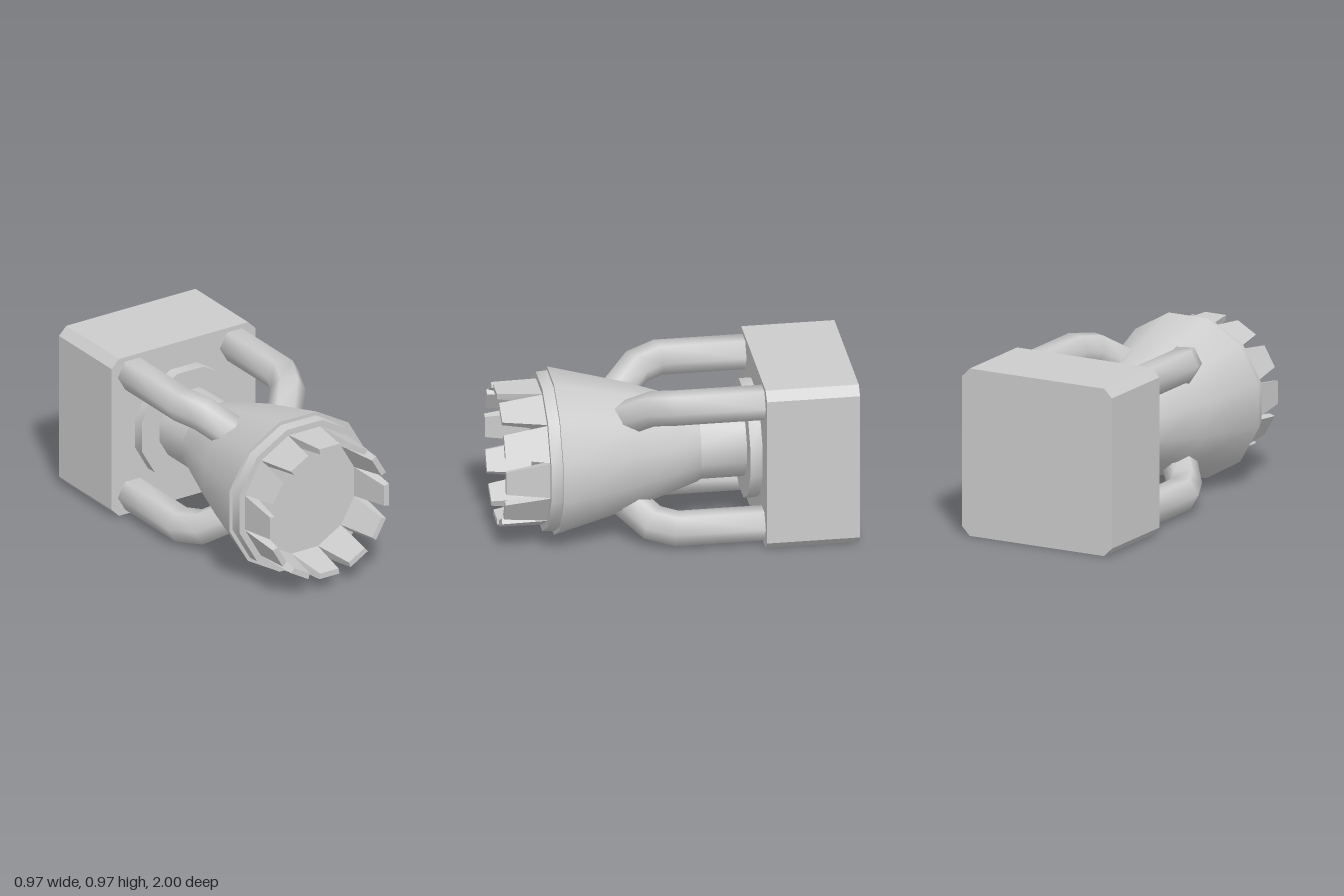
import * as THREE from 'three';
import { toCreasedNormals } from 'three/addons/utils/BufferGeometryUtils.js';

const MID = 0.487; // height of the central axis
const SIDES = 12;
const material = new THREE.MeshStandardMaterial({ color: 0xcccccc });

function part(name, geometry) {
  const mesh = new THREE.Mesh(geometry, material);
  mesh.name = name;
  return mesh;
}

// Twelve-sided turned part along z, from [apothem, z] pairs, flats on top and sides
function turned(name, profile) {
  const points = profile.map(([a, z]) => new THREE.Vector2(a / Math.cos(Math.PI / SIDES), z));
  points.unshift(new THREE.Vector2(0, profile[0][1]));
  points.push(new THREE.Vector2(0, profile[profile.length - 1][1]));
  const lathe = new THREE.LatheGeometry(points, SIDES, Math.PI / SIDES);
  const mesh = part(name, toCreasedNormals(lathe.rotateX(Math.PI / 2), 0.6));
  mesh.position.y = MID;
  return mesh;
}

// Rear block with bevelled long edges
function rearBlock() {
  const w = 0.487, c = 0.05;
  const shape = new THREE.Shape([
    [w, -w + c], [w, w - c], [w - c, w], [-w + c, w],
    [-w, w - c], [-w, -w + c], [-w + c, -w], [w - c, -w],
  ].map(([x, y]) => new THREE.Vector2(x, y)));
  const mesh = part('rearBlock', new THREE.ExtrudeGeometry(shape, { depth: 0.53, bevelEnabled: false }));
  mesh.position.set(0, MID, -1);
  return mesh;
}

// Tooth tapering in width and thickness towards its tip
function tooth(angle) {
  const geometry = new THREE.BoxGeometry(2, 2, 2);
  const pos = geometry.attributes.position;
  for (let i = 0; i < pos.count; i++) {
    const tip = pos.getZ(i) > 0, outer = pos.getY(i) > 0;
    const half = tip ? (outer ? 0.068 : 0.062) : (outer ? 0.106 : 0.09);
    const radius = outer ? 0.403 : (tip ? 0.37 : 0.335);
    pos.setXYZ(i, pos.getX(i) * half, radius, tip ? 1 : 0.745);
  }
  const flat = geometry.toNonIndexed();
  flat.computeVertexNormals();
  const mesh = part('tooth', flat);
  mesh.rotation.z = angle;
  return mesh;
}

// Six-sided bent pipe: a hexagon carried along the path and mitred at each bend
function pipe(sx, sy) {
  const path = [[0.345, 0.373, -0.5], [0.345, 0.373, 0.02], [0.288, 0.352, 0.15], [0.175, 0.253, 0.285]]
    .map(([x, y, z]) => new THREE.Vector3(x * sx, y * sy, z));
  const dirs = path.slice(1).map((p, i) => p.clone().sub(path[i]).normalize());
  let ring = [...Array(6).keys()].map((k) => {
    const a = k * Math.PI / 3;
    return new THREE.Vector3(Math.cos(a) * 0.1, Math.sin(a) * 0.1, 0).add(path[0]);
  });
  const positions = [], index = [];
  const push = (v) => positions.push(v.x, v.y, v.z);
  ring.forEach(push);
  dirs.forEach((d, s) => {
    const normal = d.clone().add(dirs[s + 1] || d).normalize();
    ring = ring.map((v) => {
      const t = path[s + 1].clone().sub(v).dot(normal) / d.dot(normal);
      return v.clone().addScaledVector(d, t);
    });
    ring.forEach(push);
    for (let k = 0; k < 6; k++) {
      const a = s * 6 + k, b = s * 6 + (k + 1) % 6;
      index.push(a, b, b + 6, a, b + 6, a + 6);
    }
  });
  // End cap with its own corners so the edge stays sharp
  const base = positions.length / 3;
  ring.forEach(push);
  for (let k = 1; k < 5; k++) index.push(base, base + k, base + k + 1);
  const geometry = new THREE.BufferGeometry();
  geometry.setAttribute('position', new THREE.Float32BufferAttribute(positions, 3));
  geometry.setIndex(index);
  geometry.computeVertexNormals();
  const mesh = part('pipe', geometry);
  mesh.position.y = MID;
  return mesh;
}

export function createModel() {
  const model = new THREE.Group();
  model.add(
    rearBlock(),
    turned('flange', [[0.33, -0.48], [0.33, -0.4]]),
    turned('neck', [[0.21, -0.45], [0.21, -0.1]]),
    turned('bell', [[0.223, -0.14], [0.27, 0], [0.352, 0.25], [0.465, 0.685]]),
    turned('rim', [[0.445, 0.67], [0.44, 0.75]]),
  );

  // Ring of teeth around the front
  const teeth = new THREE.Group();
  teeth.name = 'teeth';
  teeth.position.y = MID;
  for (let i = 0; i < SIDES; i++) teeth.add(tooth(i * 2 * Math.PI / SIDES));
  model.add(teeth);

  // One pipe per corner
  const pipes = new THREE.Group();
  pipes.name = 'pipes';
  for (const sx of [-1, 1]) for (const sy of [-1, 1]) pipes.add(pipe(sx, sy));
  model.add(pipes);
  return model;
}
